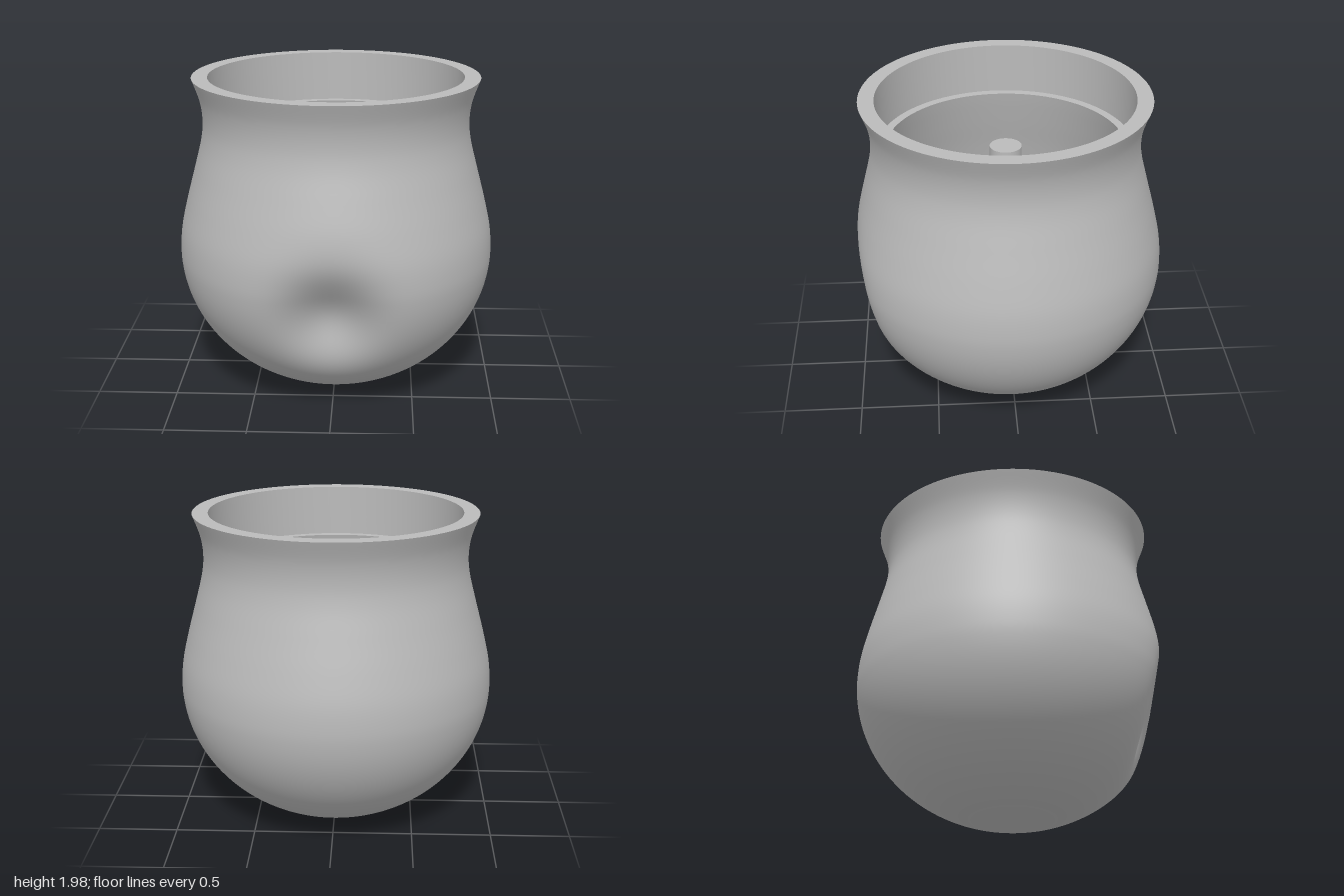
import * as THREE from 'three';
import { mergeVertices } from 'three/addons/utils/BufferGeometryUtils.js';

const AXIS_Z = 0.027;   // the dent shifts the pot's axis slightly forward
const HEIGHT = 1.975;
const LEDGE_Y = 1.65;

// Smooth thumb dent pressed into the front of the wall
const dentDepth = (x, y) => 0.22 * Math.exp(-(x * x + (y - 0.67) ** 2) / (2 * 0.2 ** 2));

// Lathe one run of the profile, press in the dent and smooth across the seam
function turned(points, dented = false) {
  let geo = new THREE.LatheGeometry(points, 128, Math.PI);
  if (dented) {
    const p = geo.attributes.position;
    for (let i = 0; i < p.count; i++) {
      if (p.getZ(i) > 0) {
        const fade = THREE.MathUtils.smoothstep(p.getZ(i), 0.1, 0.4);
        p.setZ(i, p.getZ(i) - fade * dentDepth(p.getX(i), p.getY(i)));
      }
    }
  }
  geo.deleteAttribute('uv');
  geo.deleteAttribute('normal');
  geo = mergeVertices(geo, 1e-5);
  geo.computeVertexNormals();
  return geo;
}

// Rounded lower bowl (quarter ellipse) followed by the neck points
function bowlProfile(a, b, footRadius, neck) {
  const start = Math.acos(footRadius / a);
  const pts = [];
  for (let i = 0; i <= 10; i++) {
    const t = start * (1 - i / 10);
    pts.push(new THREE.Vector2(a * Math.cos(t), 0.87 - b * Math.sin(t)));
  }
  neck.forEach(([r, y]) => pts.push(new THREE.Vector2(r, y)));
  return new THREE.SplineCurve(pts).getPoints(110);
}

const line = (...pts) => pts.map(([r, y]) => new THREE.Vector2(r, y));

export function createModel() {
  const pot = new THREE.Group();
  pot.name = 'dentedPot';
  const clay = new THREE.MeshStandardMaterial({ color: 0xbababa });
  clay.name = 'plain grey';

  const add = (name, geo) => {
    const mesh = new THREE.Mesh(geo, clay);
    mesh.name = name;
    mesh.position.z = AXIS_Z;
    pot.add(mesh);
    return mesh;
  };

  // Outside: foot, rounded belly, narrow neck and flared lip
  const outer = bowlProfile(1, 0.9, 0.26,
    [[0.988, 1.02], [0.948, 1.2], [0.895, 1.4], [0.85, 1.58], [0.837, 1.71], [0.853, 1.84], [0.9, HEIGHT]]);
  outer[0].y = 0;
  add('outerWall', turned(outer, true));
  add('foot', turned(line([0, 0], [0.26, 0])));

  // Top: flat lip, straight collar and inner ledge
  add('lip', turned(line([0.9, HEIGHT], [0.8, HEIGHT])));
  add('collar', turned(line([0.8, HEIGHT], [0.8, LEDGE_Y])));
  add('ledge', turned(line([0.8, LEDGE_Y], [0.745, LEDGE_Y])));

  // Inside: hollow bowl and flat floor
  const inner = bowlProfile(0.91, 0.81, 0.25,
    [[0.898, 1.02], [0.858, 1.2], [0.805, 1.4], [0.765, 1.56], [0.745, LEDGE_Y]]);
  const floorY = inner[0].y;
  add('innerWall', turned(inner.reverse(), true));
  add('floor', turned(line([0.25, floorY], [0, floorY])));

  // Central post rising almost to the ledge
  const postTop = 1.635;
  const post = add('centrePost', new THREE.CylinderGeometry(0.1, 0.1, postTop - floorY, 48));
  post.position.y = (postTop + floorY) / 2;

  return pot;
}
